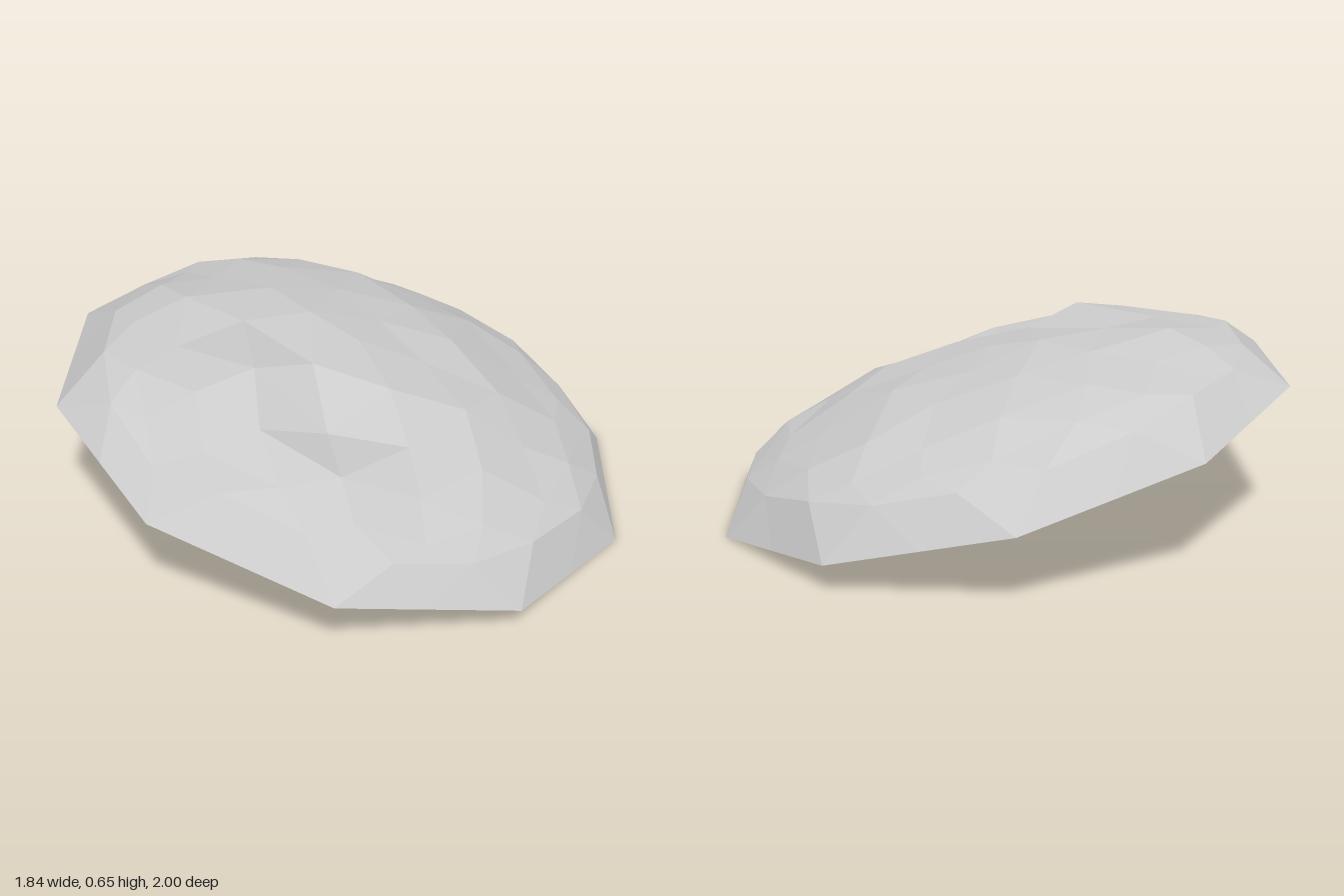
import * as THREE from 'three';

// Repeatable value in -1..1 from a vertex position and channel
function jitter(x, y, z, channel) {
  const s = Math.sin(Math.round(x * 100) * 12.99 + Math.round(y * 100) * 78.23 + Math.round(z * 100) * 37.72 + channel * 19.7) * 4375.85;
  return 2 * (s - Math.floor(s)) - 1;
}

// Height of the dome against distance from its middle: steep edge, sloping shoulder, flat crown
const profile = [[0, 0.315], [0.25, 0.31], [0.45, 0.285], [0.6, 0.245], [0.74, 0.195], [0.86, 0.14], [1, 0]];
function domeHeight(r) {
  const i = Math.max(1, profile.findIndex(([pr]) => pr >= r));
  const [r0, h0] = profile[i - 1];
  const [r1, h1] = profile[i];
  return THREE.MathUtils.mapLinear(r, r0, r1, h0, h1);
}

// Hollows (negative) and swellings: x, z, half width in x, half width in z, height
const relief = [
  [-0.05, 0.45, 0.2, 0.12, -0.09],
  [-0.6, 0.56, 0.16, 0.12, -0.06],
  [0.25, 0.7, 0.2, 0.14, -0.035],
  [0.12, 0.45, 0.3, 0.1, -0.02],
  [-0.52, 0, 0.1, 0.25, -0.02],
  [0.56, 0, 0.1, 0.4, -0.02],
  [0.3, 0.36, 0.14, 0.14, 0.02],
  [0.39, -0.1, 0.12, 0.3, 0.01],
  [-0.68, -0.15, 0.1, 0.2, 0.03],
  [-0.42, 0.3, 0.14, 0.1, 0.04],
  [-0.3, -0.6, 0.3, 0.14, 0.02],
  [0.87, 0, 0.08, 0.1, -0.02],
];

// Squashed faceted dome with a ten-sided rim, open underneath
function stoneShell() {
  const ball = new THREE.IcosahedronGeometry(1, 3);
  ball.rotateZ(-Math.atan(2 / (1 + Math.sqrt(5))));
  const p = ball.attributes.position;
  const out = [];
  const v = new THREE.Vector3();
  for (let i = 0; i < p.count; i += 3) {
    if (p.getY(i) + p.getY(i + 1) + p.getY(i + 2) < 0.01) continue;
    for (let k = 0; k < 3; k++) {
      v.fromBufferAttribute(p, i + k);
      const { x, y, z } = v;
      if (y < 0.02) {
        // Rim: pull every second point onto the straight side of the decagon
        const step = Math.PI / 5;
        const a = Math.atan2(z, x) - Math.PI / 2 + 4 * Math.PI;
        const r = Math.cos(step / 2) / Math.cos((a % step) - step / 2);
        const n = Math.hypot(x, z);
        v.set((x / n) * r, 0, (z / n) * r);
      } else {
        v.x = x * 0.9 + 0.04 * jitter(x, y, z, 1) * y;
        v.z = z * 0.9 + 0.04 * jitter(x, y, z, 2) * y;
        v.y = domeHeight(Math.hypot(v.x, v.z)) + 0.012 * jitter(x, y, z, 3);
        for (const [cx, cz, wx, wz, rise] of relief) {
          v.y += rise * Math.exp(-(((v.x - cx) / wx) ** 2) - ((v.z - cz) / wz) ** 2);
        }
      }
      out.push(v.x, v.y, v.z);
    }
  }
  const g = new THREE.BufferGeometry();
  g.setAttribute('position', new THREE.Float32BufferAttribute(out, 3));
  g.computeVertexNormals();
  return g;
}

export function createModel() {
  const group = new THREE.Group();
  group.name = 'rock';
  const material = new THREE.MeshStandardMaterial({ color: 0xcccccc, flatShading: true, side: THREE.DoubleSide });
  const shell = new THREE.Mesh(stoneShell(), material);
  shell.name = 'rockShell';
  // The whole stone leans down towards its left
  shell.rotation.z = -THREE.MathUtils.degToRad(15);
  shell.position.y = 0.247;
  group.add(shell);
  return group;
}
